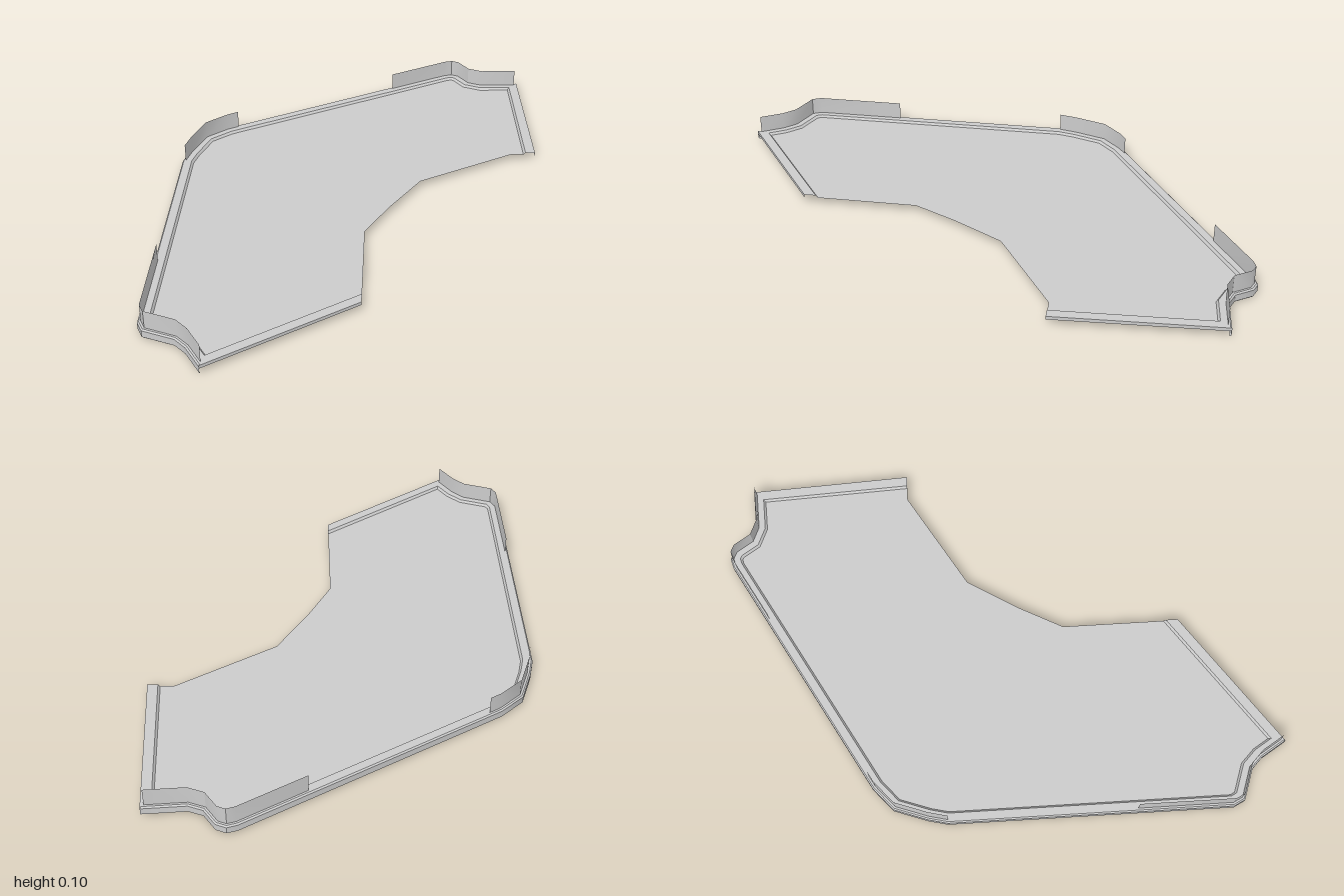
import * as THREE from 'three';
import { toCreasedNormals } from 'three/addons/utils/BufferGeometryUtils.js';

// Outer outline of the rim in plan (x, z), running back-left end -> right side -> front end
const OUTLINE = [
  [0.677, -0.325], [0.648, -0.913], [0.5, -0.905], [0.45, -0.925], [0.41, -0.985],
  [0.375, -1.0], [0.34, -0.99], [0.115, -0.862], [-0.5, -0.513], [-0.54, -0.49],
  [-0.62, -0.42], [-0.663, -0.3], [-0.68, -0.23], [-0.68, 0.44], [-0.68, 0.78],
  [-0.66, 0.82], [-0.55, 0.86], [-0.51, 0.9], [-0.455, 0.99], [0.03, 0.655],
];
// Open inner edge of the floor
const INNER_EDGE = [[0.03, 0.23], [0.115, 0.07], [0.23, -0.115], [0.585, -0.325]];

const FLOOR_Y = 0.025, RIM_Y = 0.034, WALL_Y = 0.1;
const LAST = OUTLINE.length - 1;
const material = new THREE.MeshStandardMaterial({ color: 0xcccccc, side: THREE.DoubleSide });

// Unit mitre offset pointing into the floor at every outline point
const MITRES = OUTLINE.map((p, i) => {
  if (i === 0) return [-1.05, 0];
  if (i === LAST) return [0, -1.25];
  const normal = (a, b) => {
    const dx = b[0] - a[0], dz = b[1] - a[1], l = Math.hypot(dx, dz);
    return [dz / l, -dx / l];
  };
  const m = normal(OUTLINE[i - 1], p), n = normal(p, OUTLINE[i + 1]);
  const k = 1 + m[0] * n[0] + m[1] * n[1];
  return [(m[0] + n[0]) / k, (m[1] + n[1]) / k];
});

const inset = (i, d) => [OUTLINE[i][0] + MITRES[i][0] * d, OUTLINE[i][1] + MITRES[i][1] * d];

// Sweep a profile of [inset, height] pairs along outline points from..to
function strip(name, from, to, profile) {
  const pos = [], index = [], n = profile.length;
  for (let i = from; i <= to; i++) {
    for (const [d, y] of profile) {
      const [x, z] = inset(i, d);
      pos.push(x, y, z);
    }
  }
  for (let i = 0; i < to - from; i++) {
    for (let j = 0; j < n - 1; j++) {
      const a = i * n + j, b = a + n;
      index.push(a, b, a + 1, b, b + 1, a + 1);
    }
  }
  const g = new THREE.BufferGeometry();
  g.setAttribute('position', new THREE.Float32BufferAttribute(pos, 3));
  g.setIndex(index);
  const mesh = new THREE.Mesh(toCreasedNormals(g, 0.6), material);
  mesh.name = name;
  return mesh;
}

export function createModel() {
  const group = new THREE.Group();
  group.name = 'floorTray';

  // Flat floor panel
  const edge = OUTLINE.map((_, i) => inset(i, 0.042)).concat(INNER_EDGE);
  const shape = new THREE.Shape(edge.map(([x, z]) => new THREE.Vector2(x, -z)));
  const floorGeometry = new THREE.ShapeGeometry(shape);
  floorGeometry.rotateX(-Math.PI / 2).translate(0, FLOOR_Y, 0);
  const floor = new THREE.Mesh(floorGeometry, material);
  floor.name = 'floor';
  group.add(floor);

  // Raised rim with a hanging skirt, and shallower flanges on the two ends
  const top = [[0.005, RIM_Y], [0.035, RIM_Y], [0.042, FLOOR_Y]];
  const skirtProfile = [[0.005, 0], [0, 0.005], [0, 0.029], ...top];
  const flangeProfile = [[0, 0.022], [0, RIM_Y], ...top.slice(1)];
  group.add(strip('rim', 1, LAST - 1, skirtProfile));
  group.add(strip('backEndFlange', 0, 1, flangeProfile));
  group.add(strip('frontEndFlange', LAST - 1, LAST, flangeProfile));

  // Thin upright walls on the rim at the three corners
  const wallProfile = [[0.012, RIM_Y], [0.012, WALL_Y]];
  group.add(strip('backWall', 1, 7, wallProfile));
  group.add(strip('cornerWall', 8, 12, wallProfile));
  group.add(strip('frontWall', 13, LAST - 1, wallProfile));

  return group;
}
